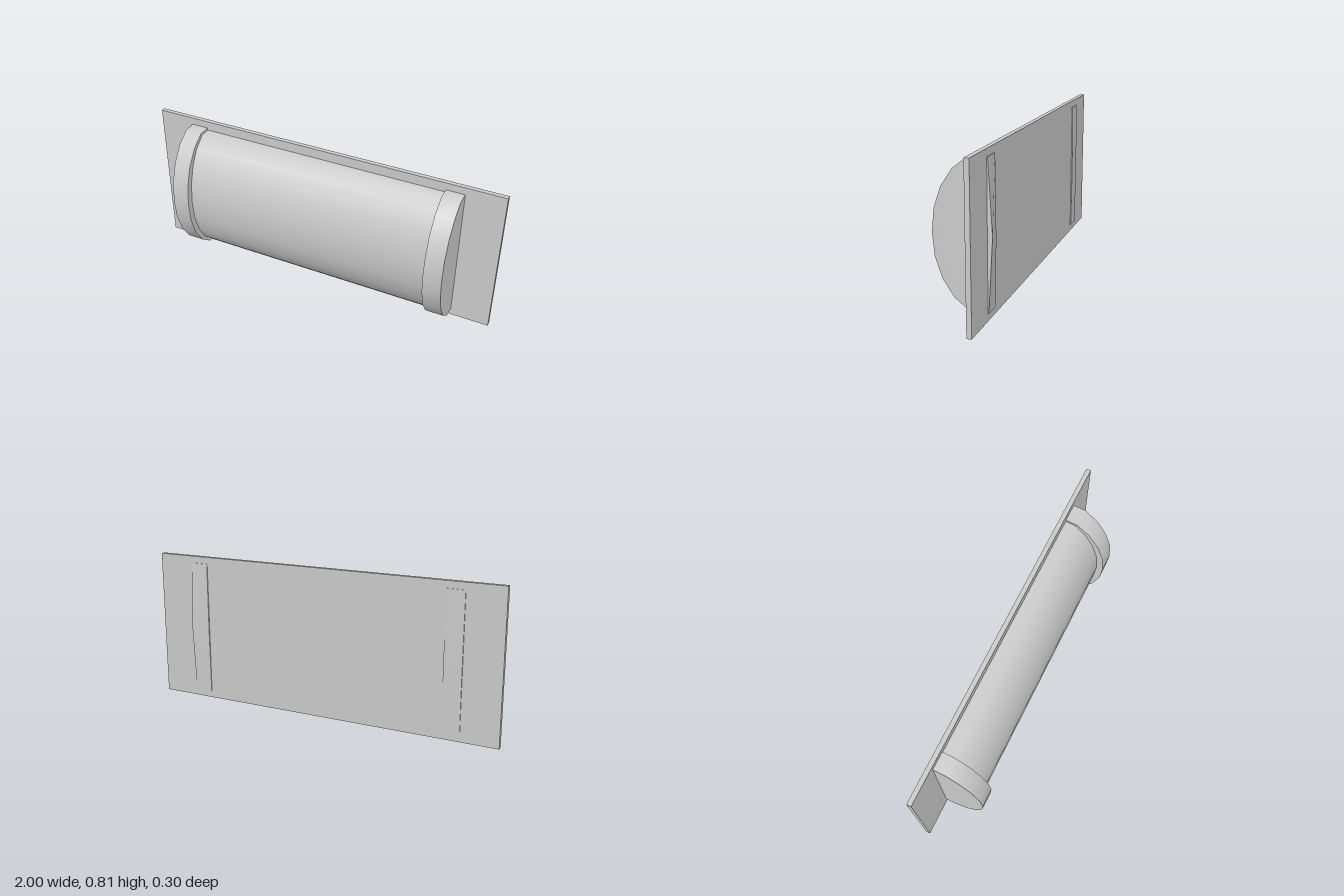
import * as THREE from 'three';
import { toCreasedNormals } from 'three/addons/utils/BufferGeometryUtils.js';

const MID = 0.407;
// upper half of the bowed section, as [z, height above the middle], front to back
const BOW = [[0.148, 0], [0.137, 0.116], [0.1, 0.223], [0.043, 0.308], [-0.03, 0.365]];

// half-round bar running along x, with a slight ridge down its back
function bar(name, x0, x1, scaleZ, scaleY, backZ, ridgeZ, material) {
  const upper = BOW.map(([z, y]) => [-0.1 + (z + 0.1) * scaleZ, y * scaleY]);
  upper.push([backZ, 0.37 * scaleY]);
  const lower = upper.slice(1).reverse().map(([z, y]) => [z, -y]);
  const outline = [...upper, [ridgeZ, 0], ...lower];
  const shape = new THREE.Shape(outline.map(([z, y]) => new THREE.Vector2(-z, y + MID)));
  const geometry = new THREE.ExtrudeGeometry(shape, { depth: x1 - x0, bevelEnabled: false });
  geometry.rotateY(Math.PI / 2).translate(x0, 0, 0);
  const mesh = new THREE.Mesh(geometry, material);
  mesh.name = name;
  return mesh;
}

export function createModel() {
  const group = new THREE.Group();
  group.name = 'wallPanel';
  const material = new THREE.MeshStandardMaterial({ color: 0xcccccc });

  // flat backing plate
  const plate = new THREE.Mesh(new THREE.BoxGeometry(2, 0.815, 0.025), material);
  plate.name = 'backPlate';
  plate.position.set(0, 0.4075, -0.1105);

  // bowed body and the two raised end caps
  const body = bar('curvedBody', -0.7, 0.69, 0.85, 0.963, -0.105, -0.106, material);
  const rightCap = bar('rightEndCap', -0.797, -0.7, 1, 1, -0.127, -0.13, material);
  const leftCap = bar('leftEndCap', 0.69, 0.79, 1, 1, -0.127, -0.13, material);

  // the left cap's back ridge swells toward its outer end
  const p = leftCap.geometry.attributes.position;
  for (let i = 0; i < p.count; i++) {
    if (p.getZ(i) < -0.1285 && p.getX(i) > 0.75) p.setZ(i, -0.148);
  }

  for (const mesh of [body, rightCap, leftCap]) {
    mesh.geometry = toCreasedNormals(mesh.geometry, 0.7);
  }
  group.add(plate, body, rightCap, leftCap);
  return group;
}
